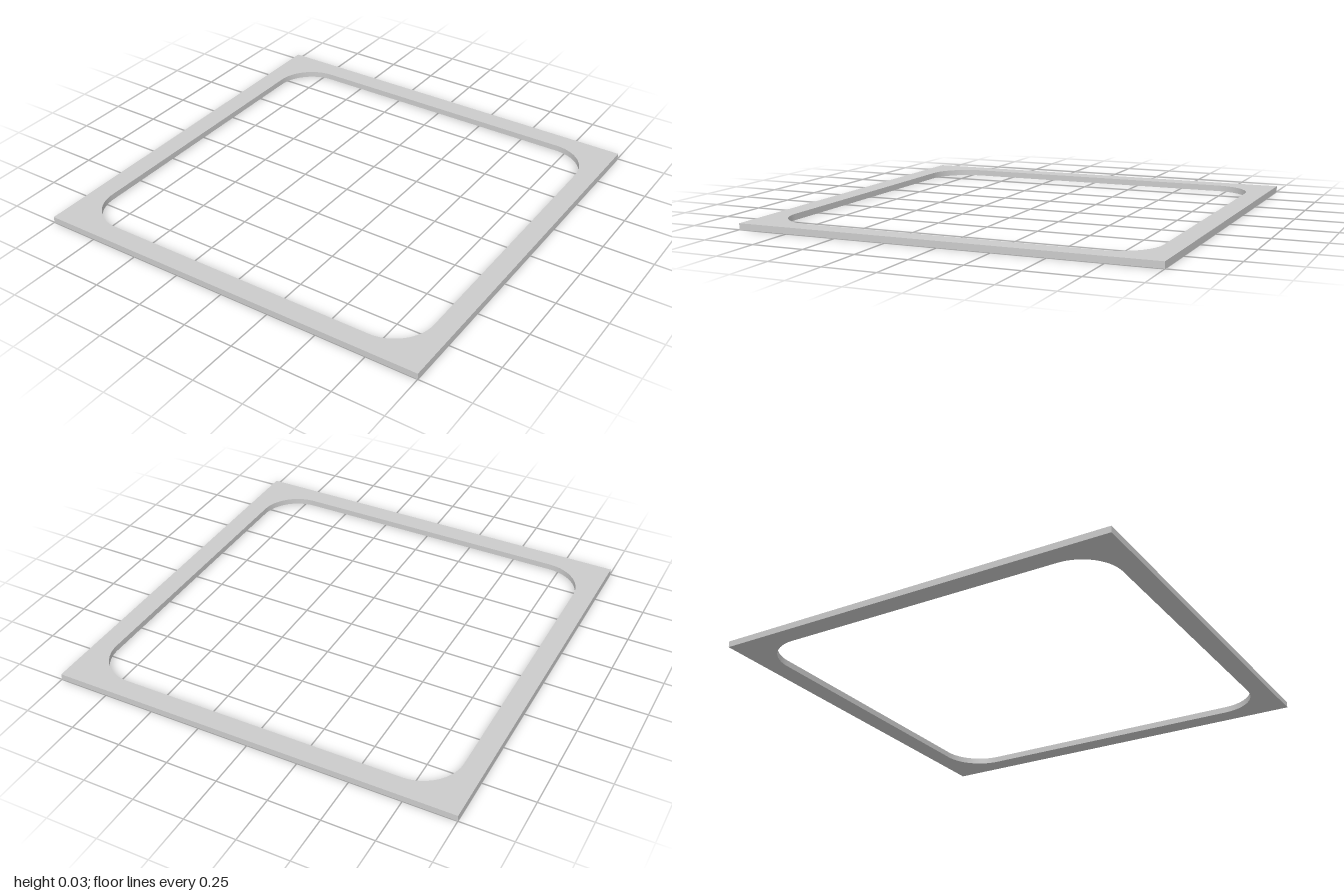
import * as THREE from 'three';
import { toCreasedNormals } from 'three/addons/utils/BufferGeometryUtils.js';

const HALF = 1; // outer half width
const INNER = 0.9; // half width of the opening
const RADIUS = 0.2; // corner radius of the opening
const THICKNESS = 0.03;

// Square opening with rounded corners
function roundedOpening(half, r) {
  const path = new THREE.Path();
  const c = half - r;
  const centres = [[c, c], [-c, c], [-c, -c], [c, -c]];
  centres.forEach(([x, y], i) => {
    path.absarc(x, y, r, i * Math.PI / 2, (i + 1) * Math.PI / 2, false);
  });
  path.closePath();
  return path;
}

export function createModel() {
  const group = new THREE.Group();
  group.name = 'flatFrame';

  // Sharp-cornered square plate with the opening cut out
  const outline = new THREE.Shape([
    new THREE.Vector2(-HALF, -HALF),
    new THREE.Vector2(HALF, -HALF),
    new THREE.Vector2(HALF, HALF),
    new THREE.Vector2(-HALF, HALF),
  ]);
  outline.holes.push(roundedOpening(INNER, RADIUS));

  const plate = new THREE.ExtrudeGeometry(outline, {
    depth: THICKNESS,
    bevelEnabled: false,
    curveSegments: 16,
  });
  plate.rotateX(-Math.PI / 2); // lay flat, standing on y = 0

  const frame = new THREE.Mesh(
    toCreasedNormals(plate, Math.PI / 6),
    new THREE.MeshStandardMaterial({ color: 0xcccccc })
  );
  frame.name = 'frame';
  group.add(frame);
  return group;
}
